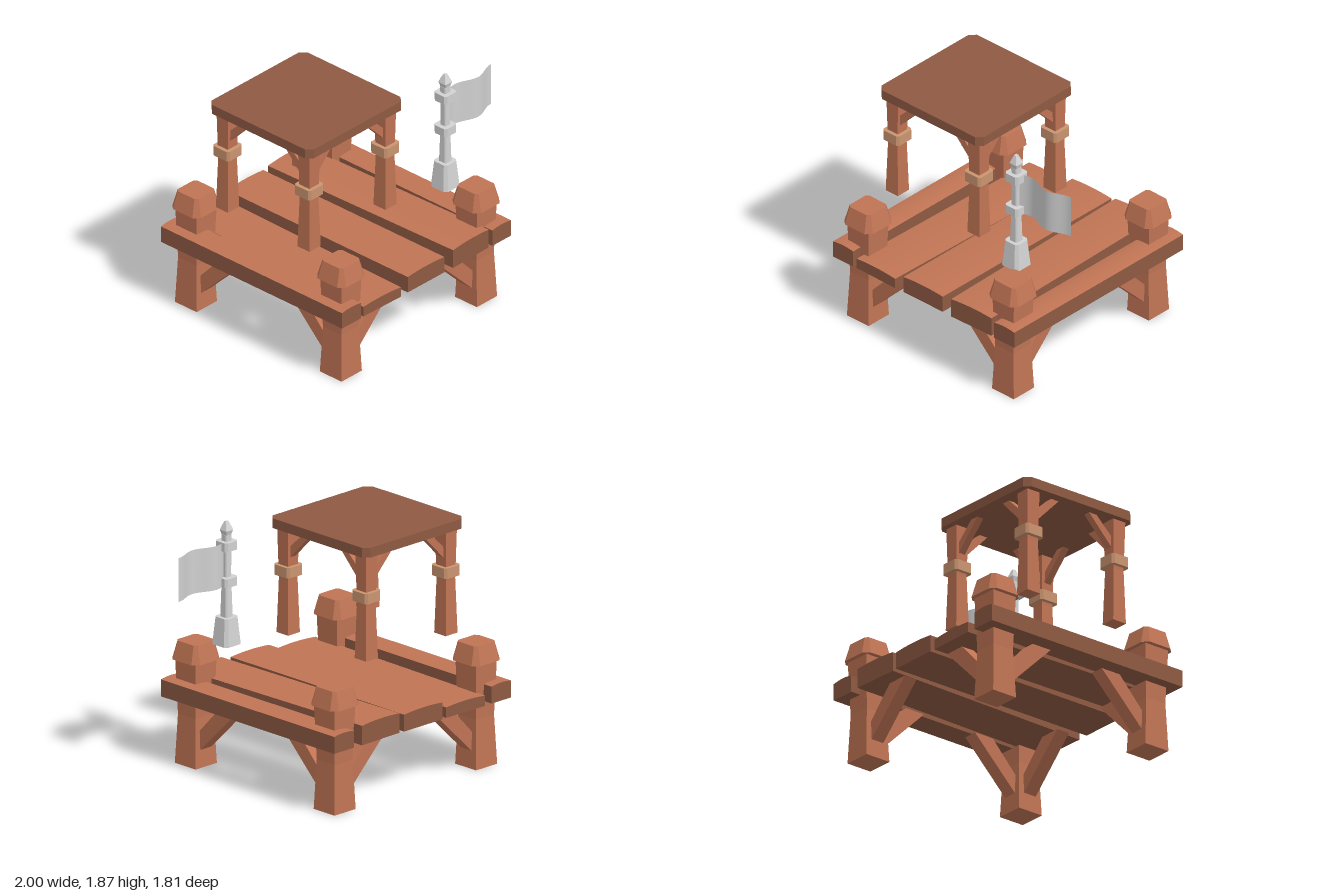
import * as THREE from 'three';

const mat = (name, color) => Object.assign(new THREE.MeshStandardMaterial({ color }), { name });

// Square ring (chamfered corners when c > 0), counter-clockwise seen from above
function ring(h, c) {
  const pts = [];
  const corners = [[1, -1], [-1, -1], [-1, 1], [1, 1]];
  corners.forEach(([sx, sz], i) => {
    if (!c) return pts.push([sx * h, sz * h]);
    const a = [sx * h, sz * (h - c)], b = [sx * (h - c), sz * h];
    pts.push(...(i % 2 ? [b, a] : [a, b]));
  });
  return pts;
}

// Faceted solid through sections [y, halfWidth, chamfer]
function loft(sections) {
  const pos = [], idx = [];
  const n = sections[0][2] ? 8 : 4;
  for (const [y, h, c] of sections) for (const [x, z] of ring(h, c)) pos.push(x, y, z);
  const last = (sections.length - 1) * n;
  for (let s = 0; s < last; s += n) {
    for (let i = 0; i < n; i++) {
      const j = (i + 1) % n;
      idx.push(s + i, s + j, s + n + j, s + i, s + n + j, s + n + i);
    }
  }
  for (let i = 1; i < n - 1; i++) idx.push(0, i + 1, i, last, last + i, last + i + 1);
  const g = new THREE.BufferGeometry();
  g.setAttribute('position', new THREE.Float32BufferAttribute(pos, 3));
  g.setIndex(idx);
  const flat = g.toNonIndexed();
  flat.computeVertexNormals();
  return flat;
}

// Diagonal brace outline, extruded to width w and centred on its plane
function braceGeometry(points, w) {
  const shape = new THREE.Shape(points.map(([x, y]) => new THREE.Vector2(x, y)));
  return new THREE.ExtrudeGeometry(shape, { depth: w, bevelEnabled: false }).translate(0, 0, -w / 2);
}

// Plank with a faintly crowned top
function plankGeometry(w, h) {
  const g = new THREE.BoxGeometry(w, h, 1.8, 8, 1, 1);
  const p = g.attributes.position;
  for (let i = 0; i < p.count; i++) {
    if (p.getY(i) > 0) p.setY(i, h / 2 - 0.01 * (2 * p.getX(i) / w) ** 2);
  }
  g.computeVertexNormals();
  return g;
}

export function createModel() {
  const wood = mat('wood', 0xc07454);
  const darkWood = mat('darkWood', 0x8f5a43);
  const tan = mat('tanBand', 0xcb9570);
  const metal = mat('paleGrey', 0xd2d2d2);
  const cloth = mat('flagGrey', 0xd0d0d0);
  cloth.side = THREE.DoubleSide;

  const model = new THREE.Group();
  model.name = 'woodenPlatform';

  const add = (parent, name, geometry, material, x = 0, y = 0, z = 0, ry = 0) => {
    const m = new THREE.Mesh(geometry, material);
    m.name = name;
    m.position.set(x, y, z);
    m.rotation.y = ry;
    parent.add(m);
    return m;
  };

  // Four posts, each with two inward braces and a fitting (cap or band)
  function frame(name, cx, spread, postGeo, braceGeo, fitName, fitGeo, fitMat) {
    const g = new THREE.Group();
    g.name = name;
    g.position.x = cx;
    for (const sx of [-1, 1]) {
      for (const sz of [-1, 1]) {
        const x = sx * spread, z = sz * spread;
        add(g, 'post', postGeo, wood, x, 0, z);
        add(g, fitName, fitGeo, fitMat, x, 0, z);
        add(g, 'braceAcross', braceGeo, wood, x, 0, z, sx < 0 ? 0 : Math.PI);
        add(g, 'braceAlong', braceGeo, wood, x, 0, z, sz * Math.PI / 2);
      }
    }
    model.add(g);
    return g;
  }

  // Deck: posts with caps
  const deck = frame('deck', -0.1, 0.72,
    loft([[0, 0.108, 0], [0.38, 0.092, 0], [0.82, 0.107, 0]]),
    braceGeometry([[0.08, 0.115], [0.48, 0.511], [0.31, 0.511], [0.08, 0.265]], 0.11),
    'postCap', loft([[0.805, 0.142, 0.045], [0.945, 0.104, 0.022]]), wood);

  // Rails and slightly askew planks: name, x, width, top, turn
  const boards = [
    ['rightRail', -0.8, 0.2, 0.65, 0],
    ['rightPlank', -0.455, 0.39, 0.6, -0.0205],
    ['middlePlank', -0.005, 0.39, 0.65, 0],
    ['leftPlank', 0.45, 0.39, 0.67, 0.025],
    ['leftRail', 0.8, 0.2, 0.65, 0],
  ];
  const boardMats = [darkWood, darkWood, wood, darkWood, darkWood, darkWood];
  for (const [name, x, w, top, turn] of boards) {
    const h = top - 0.51;
    add(deck, name, plankGeometry(w, h), boardMats, x, 0.51 + h / 2, 0, turn);
  }

  // Canopy: slim posts with bands, and a flat roof
  const canopy = frame('canopy', -0.416, 0.405,
    loft([[0.93, 0.06, 0], [1.35, 0.048, 0], [1.745, 0.057, 0]]),
    braceGeometry([[0.04, 1.512], [0.263, 1.742], [0.193, 1.742], [0.04, 1.598]], 0.055),
    'postBand', loft([[1.375, 0.08, 0.018], [1.455, 0.08, 0.018]]), tan);
  add(canopy, 'roof', loft([[1.74, 0.508, 0.045], [1.815, 0.508, 0.045]]), darkWood);

  // Flagpole
  const pole = new THREE.Group();
  pole.name = 'flagpole';
  pole.position.set(0.485, 0, 0.54);
  model.add(pole);
  add(pole, 'poleBase', loft([[0.93, 0.085, 0.025], [1.14, 0.065, 0.019]]), metal);
  add(pole, 'poleShaft', loft([[1.13, 0.037, 0.01], [1.45, 0.028, 0.008], [1.77, 0.03, 0.008]]), metal);
  for (const y of [1.38, 1.655]) {
    add(pole, 'poleRing', loft([[y, 0.063, 0.018], [y + 0.067, 0.063, 0.018]]), metal);
  }
  add(pole, 'finial', loft([[1.75, 0.022, 0.004], [1.805, 0.038, 0.007], [1.87, 0.012, 0.002]]), metal);

  // Waving flag
  const flagGeo = new THREE.PlaneGeometry(0.485, 0.337, 24, 1);
  const p = flagGeo.attributes.position;
  for (let i = 0; i < p.count; i++) {
    const t = p.getX(i) / 0.485 + 0.5;
    p.setZ(i, -0.028 * Math.sin(t * Math.PI * 2.5));
  }
  flagGeo.computeVertexNormals();
  add(pole, 'flag', flagGeo, cloth, 0.2725, 1.547, 0);

  return model;
}
